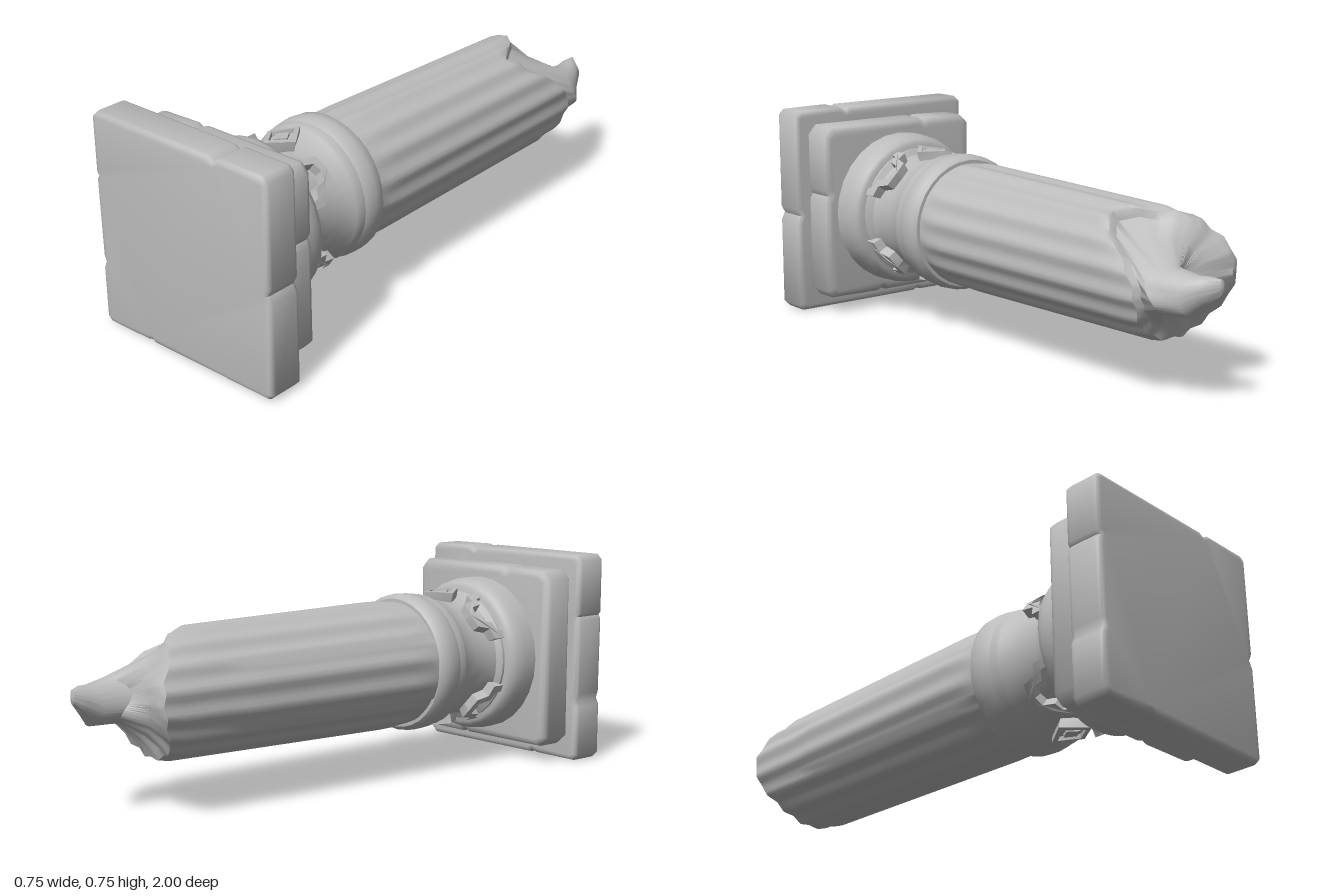
import * as THREE from 'three';
import { toCreasedNormals } from 'three/addons/utils/BufferGeometryUtils.js';

const AXIS_Y = 0.375;
const lerp = THREE.MathUtils.lerp;

export function createModel() {
  const stone = new THREE.MeshStandardMaterial({ color: 0xbcbcbc });
  stone.name = 'grey stone';
  const model = new THREE.Group();
  model.name = 'brokenColumn';
  // everything is built around the column axis, which runs along z
  const column = new THREE.Group();
  column.name = 'column';
  column.position.y = AXIS_Y;
  model.add(column);

  const add = (name, geometry, crease = 0.6) => {
    const mesh = new THREE.Mesh(toCreasedNormals(geometry, crease), stone);
    mesh.name = name;
    column.add(mesh);
    return mesh;
  };

  // stone slab from an outline with chipped edges
  function slab(name, outline, z0, z1, bevel) {
    const shape = new THREE.Shape(outline.map(([x, y]) => new THREE.Vector2(x, y)));
    const g = new THREE.ExtrudeGeometry(shape, {
      depth: z1 - z0 - 2 * bevel, bevelEnabled: true, bevelThickness: bevel,
      bevelSize: bevel, bevelOffset: -bevel, bevelSegments: 3,
    });
    g.translate(0, 0, z0 + bevel);
    add(name, g, 0.9);
  }

  slab('basePlate', [
    [-0.355, -0.375], [-0.18, -0.374], [-0.16, -0.367], [-0.145, -0.375], [0.355, -0.375],
    [0.375, -0.355], [0.375, -0.04], [0.362, -0.015], [0.375, 0.01], [0.375, 0.355],
    [0.355, 0.375], [0.18, 0.377], [0.155, 0.364], [0.135, 0.375], [-0.355, 0.375],
    [-0.375, 0.355], [-0.375, 0.165], [-0.367, 0.153], [-0.375, 0.14],
    [-0.372, -0.13], [-0.364, -0.153], [-0.375, -0.175], [-0.375, -0.355],
  ], 0.868, 1, 0.018);

  slab('upperStep', [
    [-0.29, -0.318], [0.06, -0.318], [0.08, -0.308], [0.1, -0.318], [0.295, -0.315],
    [0.325, -0.285], [0.325, 0.05], [0.314, 0.07], [0.325, 0.09], [0.325, 0.29],
    [0.295, 0.325], [-0.1, 0.325], [-0.12, 0.315], [-0.14, 0.325], [-0.295, 0.32],
    [-0.328, 0.29], [-0.328, -0.285],
  ], 0.75, 0.885, 0.026);

  // turned parts: profile points are [radius, z]
  function turned(name, profile, sides) {
    const g = new THREE.LatheGeometry(profile.map(([r, z]) => new THREE.Vector2(r, z)), sides);
    g.rotateX(Math.PI / 2);
    add(name, g, 0.7);
  }
  turned('baseDisc', [[0.19, 0.636], [0.25, 0.638], [0.265, 0.648], [0.276, 0.672],
    [0.28, 0.7], [0.28, 0.76]], 28);
  turned('neck', [[0.2, 0.4], [0.237, 0.405], [0.237, 0.438], [0.232, 0.45], [0.22, 0.475],
    [0.212, 0.52], [0.208, 0.58], [0.215, 0.615], [0.235, 0.628], [0.235, 0.645]], 32);
  turned('collar', [[0.2, 0.318], [0.23, 0.32], [0.243, 0.334], [0.246, 0.365],
    [0.243, 0.402], [0.234, 0.418], [0.2, 0.42]], 32);

  // flat ornament outlines bent around the neck
  function ornament(name, outer, inner, angle, z, radius, depth) {
    const toPath = (pts, C) => new C(pts.map(([u, v]) => new THREE.Vector2(u, v)));
    const shape = toPath(outer, THREE.Shape);
    if (inner) shape.holes.push(toPath(inner, THREE.Path));
    const g = new THREE.ExtrudeGeometry(shape, { depth, bevelEnabled: false });
    const p = g.attributes.position;
    for (let i = 0; i < p.count; i++) {
      const a = angle + p.getX(i) / 0.235;
      const r = radius + p.getZ(i);
      p.setXYZ(i, Math.cos(a) * r, Math.sin(a) * r, z - p.getY(i));
    }
    // the bend mirrors the outline, so turn each triangle round
    for (let i = 0; i < p.count; i += 3) {
      const b = new THREE.Vector3().fromBufferAttribute(p, i + 1);
      const c = new THREE.Vector3().fromBufferAttribute(p, i + 2);
      const a = new THREE.Vector3().fromBufferAttribute(p, i);
      const n = b.clone().sub(a).cross(c.clone().sub(a));
      const flat = g.attributes.normal;
      const u = flat.getX(i), v = flat.getY(i), w = flat.getZ(i);
      const t = Math.atan2(a.y, a.x);
      const want = new THREE.Vector3(
        Math.cos(t) * w - Math.sin(t) * u, Math.sin(t) * w + Math.cos(t) * u, -v);
      if (n.dot(want) < 0) {
        p.setXYZ(i + 1, c.x, c.y, c.z);
        p.setXYZ(i + 2, b.x, b.y, b.z);
      }
    }
    add(name, g, 0.4);
  }
  const diamond = (w, h) => [[w, 0], [0, h], [-w, 0], [0, -h]];
  for (const a of [Math.PI / 2, -Math.PI / 2]) {
    ornament('diamondFrame', diamond(0.06, 0.085), diamond(0.042, 0.06), a, 0.545, 0.2, 0.046);
    ornament('diamondBack', diamond(0.05, 0.07), null, a, 0.545, 0.2, 0.032);
    ornament('diamondHeart', diamond(0.024, 0.036), null, a, 0.545, 0.2, 0.042);
  }
  const bracket = [[-0.1, 0], [-0.1, 0.045], [-0.062, 0.055], [-0.05, 0.105], [0, 0.115],
    [0.05, 0.105], [0.062, 0.055], [0.1, 0.045], [0.1, 0], [0.075, 0], [0.07, 0.025],
    [0.04, 0.035], [0.03, 0.08], [0, 0.088], [-0.03, 0.08], [-0.04, 0.035],
    [-0.07, 0.025], [-0.075, 0]];
  for (let i = 0; i < 4; i++) {
    ornament('steppedBracket', bracket, null, Math.PI / 4 + i * Math.PI / 2, 0.637, 0.2, 0.045);
  }

  // fluted shaft with a broken end: rings of points joined in order
  const SIDES = 96, FLUTES = 16;
  const rim = [-0.76, -0.7, -0.59, -0.54, -0.66, -0.73, -0.76, -0.81,
    -0.82, -0.8, -0.76, -0.74, -0.74, -0.73, -0.745, -0.765];
  const rimZ = (a) => {
    const s = a / (2 * Math.PI) * rim.length;
    const i = Math.floor(s) % rim.length;
    return lerp(rim[i], rim[(i + 1) % rim.length], s - Math.floor(s));
  };
  const shaftRadius = (a, z) => {
    const taper = lerp(0.211, 0.228, (z + 0.8) / 1.12);
    const wave = Math.abs(Math.cos(a * FLUTES / 2));
    const flute = 0.011 * (1 - wave) ** 0.7 * THREE.MathUtils.smoothstep(0.34 - z, 0, 0.1);
    const shell = Math.abs(a - Math.PI) < 0.5 && z > -0.55 ? 0.008 : 0; // surviving outer skin
    return taper - 0.011 + flute + shell;
  };
  const ring = (fn) => Array.from({ length: SIDES }, (_, j) => fn(j / SIDES * Math.PI * 2));
  const onShaft = (a, z, k = 1) => {
    const r = shaftRadius(a, z) * k;
    return [Math.cos(a) * r, Math.sin(a) * r, z];
  };
  const spike = (a, x, y, rx, ry, z) => [x + Math.cos(a) * rx, y + Math.sin(a) * ry, z];
  const rings = [];
  for (const z of [0.36, 0.32, 0.27, 0.2, 0, -0.2, -0.4, -0.5]) {
    rings.push(ring((a) => onShaft(a, z)));
  }
  for (const t of [0.3, 0.8, 1]) {
    rings.push(ring((a) => onShaft(a, lerp(-0.5, rimZ(a), t), t === 1 ? 0.965 : 1)));
  }
  rings.push(ring((a) => onShaft(a, rimZ(a) - 0.012, 0.83)));
  rings.push(ring((a) => {
    const p = onShaft(a, rimZ(a), 0.8);
    const q = spike(a, 0.09, -0.015, 0.1, 0.085, -0.79);
    return [lerp(p[0], q[0], 0.5), lerp(p[1], q[1], 0.5), lerp(p[2], q[2], 0.55)];
  }));
  rings.push(ring((a) => spike(a, 0.095, -0.015, 0.095, 0.075, -0.82 + 0.02 * Math.sin(3 * a))));
  rings.push(ring((a) => spike(a, 0.078, -0.018, 0.062, 0.066, -0.91 + 0.012 * Math.cos(2 * a))));
  rings.push(ring((a) => spike(a, 0.066, 0.005, 0.045, 0.045, -0.955)));
  rings.push(ring((a) => spike(a, 0.048, 0.02, 0.012, 0.025, -0.995)));
  rings.push(ring(() => [0.046, 0.022, -1]));

  const index = [];
  for (let i = 0; i < rings.length - 1; i++) {
    for (let j = 0; j < SIDES; j++) {
      const k = (j + 1) % SIDES;
      const a = i * SIDES + j, b = i * SIDES + k, c = a + SIDES, d = b + SIDES;
      index.push(a, c, b);
      if (i < rings.length - 2) index.push(b, c, d);
    }
  }
  const shaft = new THREE.BufferGeometry();
  shaft.setAttribute('position', new THREE.Float32BufferAttribute(rings.flat(2), 3));
  shaft.setIndex(index);
  add('brokenShaft', shaft, 0.75);

  return model;
}
